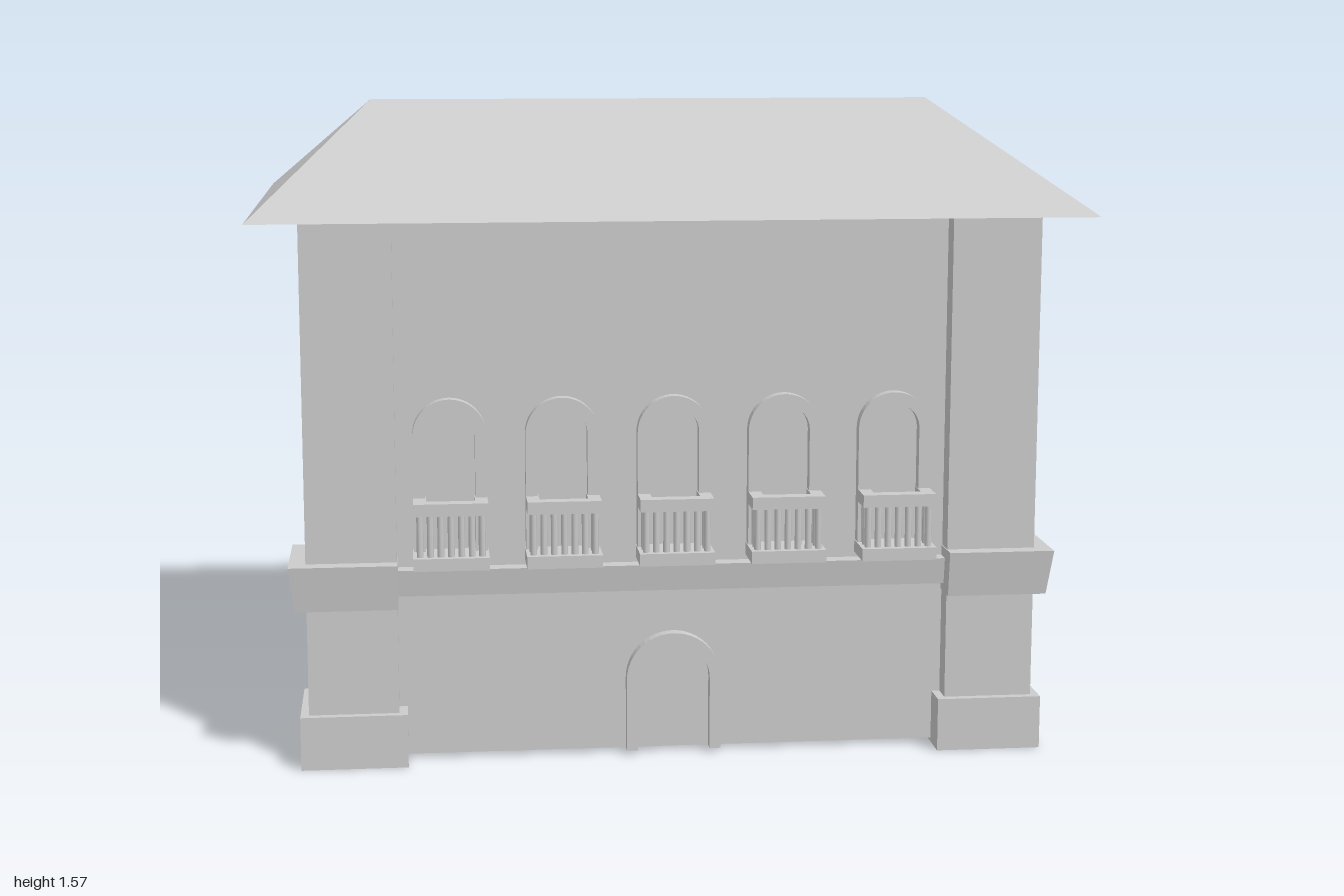
import * as THREE from 'three';

const mat = new THREE.MeshStandardMaterial({ color: 0xcccccc, flatShading: true });
const smooth = new THREE.MeshStandardMaterial({ color: 0xcccccc });
const WX = 0.83, WZ = 0.52; // wall half extents

function add(parent, name, geo, material = mat) {
  const m = new THREE.Mesh(geo, material);
  m.name = name;
  parent.add(m);
  return m;
}

// Box given by its minimum and maximum corners
function block(parent, name, x0, x1, y0, y1, z0, z1) {
  const m = add(parent, name, new THREE.BoxGeometry(x1 - x0, y1 - y0, z1 - z0));
  m.position.set((x0 + x1) / 2, (y0 + y1) / 2, (z0 + z1) / 2);
  return m;
}

// Box from y0 to y1 whose vertices are moved by a rule (x, z, isTop) => [x, z]
function shapedBox(x, z, y0, y1, rule) {
  const g = new THREE.BoxGeometry(2 * x, y1 - y0, 2 * z);
  g.translate(0, (y0 + y1) / 2, 0);
  const p = g.attributes.position;
  for (let i = 0; i < p.count; i++) {
    const [nx, nz] = rule(p.getX(i), p.getZ(i), p.getY(i) > (y0 + y1) / 2);
    p.setXYZ(i, nx, p.getY(i), nz);
  }
  g.computeVertexNormals();
  return g;
}

// Round-headed frame with straight legs, open at the bottom
function archFrame(outer, inner, y0, springY, depth) {
  const s = new THREE.Shape();
  s.moveTo(-outer, y0);
  s.lineTo(-inner, y0);
  s.lineTo(-inner, springY);
  s.absarc(0, springY, inner, Math.PI, 0, true);
  s.lineTo(inner, y0);
  s.lineTo(outer, y0);
  s.lineTo(outer, springY);
  s.absarc(0, springY, outer, 0, Math.PI, false);
  s.closePath();
  return new THREE.ExtrudeGeometry(s, { depth, bevelEnabled: false, curveSegments: 12 });
}

// Arched window with its small balcony, facing +z
function balconyWindow(x) {
  const g = new THREE.Group();
  g.name = 'balconyWindow';
  g.position.x = x;
  add(g, 'windowFrame', archFrame(0.088, 0.06, 0.5, 0.797, 0.04), smooth).position.z = WZ - 0.01;
  block(g, 'balconySlab', -0.09, 0.09, 0.488, 0.518, WZ - 0.01, 0.628);
  block(g, 'frontRail', -0.088, 0.088, 0.618, 0.648, 0.588, 0.622);
  for (const s of [-1, 1]) {
    block(g, 'sideRail', s * 0.073 - 0.015, s * 0.073 + 0.015, 0.618, 0.648, WZ, 0.588);
  }
  const bar = new THREE.CylinderGeometry(0.008, 0.008, 0.102, 8);
  const spots = [];
  for (let i = -3; i <= 3; i++) spots.push([i * 0.0245, 0.606]);
  for (const s of [-1, 1]) for (const z of [0.575, 0.546]) spots.push([s * 0.0735, z]);
  for (const [bx, bz] of spots) add(g, 'baluster', bar, smooth).position.set(bx, 0.568, bz);
  return g;
}

// One long side: five windows and a doorway
function facade(name) {
  const g = new THREE.Group();
  g.name = name;
  for (let i = -2; i <= 2; i++) g.add(balconyWindow(i * 0.268));
  add(g, 'doorFrame', archFrame(0.115, 0.088, 0.01, 0.187, 0.06), smooth).position.z = WZ - 0.03;
  return g;
}

// Corner pillar with plinth and flared collar
function cornerPillar(sx, sz) {
  const g = new THREE.Group();
  g.name = 'cornerPillar';
  const span = (a, b, s) => (s > 0 ? [a, b] : [-b, -a]);
  const part = (name, x0, x1, y0, y1, z0, z1) =>
    block(g, name, ...span(x0, x1, sx), y0, y1, ...span(z0, z1, sz));
  part('plinth', 0.645, 0.9, 0, 0.13, 0.345, 0.595);
  part('shaft', 0.665, 0.88, 0.13, 1.312, 0.36, 0.575);
  add(g, 'collar', shapedBox(1, 1, 0.39, 0.5, (x, z, top) => [
    x * sx > 0 ? sx * (top ? 0.92 : 0.905) : sx * 0.663,
    z * sz > 0 ? sz * (top ? 0.615 : 0.6) : sz * 0.358,
  ]));
  return g;
}

export function createModel() {
  const model = new THREE.Group();
  model.name = 'house';

  // Ground storey: thin walls, open underneath
  for (const s of [-1, 1]) {
    block(model, 'groundLongWall', -WX, WX, 0.01, 0.41, s * (WZ - 0.005) - 0.005, s * (WZ - 0.005) + 0.005);
    block(model, 'groundEndWall', s * (WX - 0.005) - 0.005, s * (WX - 0.005) + 0.005, 0.01, 0.41, -WZ + 0.01, WZ - 0.01);
  }

  // Upper storey and tapered belt course
  block(model, 'upperStorey', -WX, WX, 0.41, 1.312, -WZ, WZ);
  add(model, 'beltCourse', shapedBox(1, 1, 0.41, 0.475, (x, z, top) => {
    const out = top ? 0.04 : 0.03;
    return [Math.sign(x) * (WX + out), Math.sign(z) * (WZ + out)];
  }));

  for (const sx of [-1, 1]) for (const sz of [-1, 1]) model.add(cornerPillar(sx, sz));

  // Matching long sides
  const back = facade('backFacade');
  back.rotation.y = Math.PI;
  model.add(facade('frontFacade'), back);

  // Hipped roof: the top corners close onto the ridge
  add(model, 'roof', shapedBox(1, 0.658, 1.312, 1.57, (x, z, top) =>
    top ? [Math.sign(x) * 0.715, 0] : [x, z]));

  return model;
}
